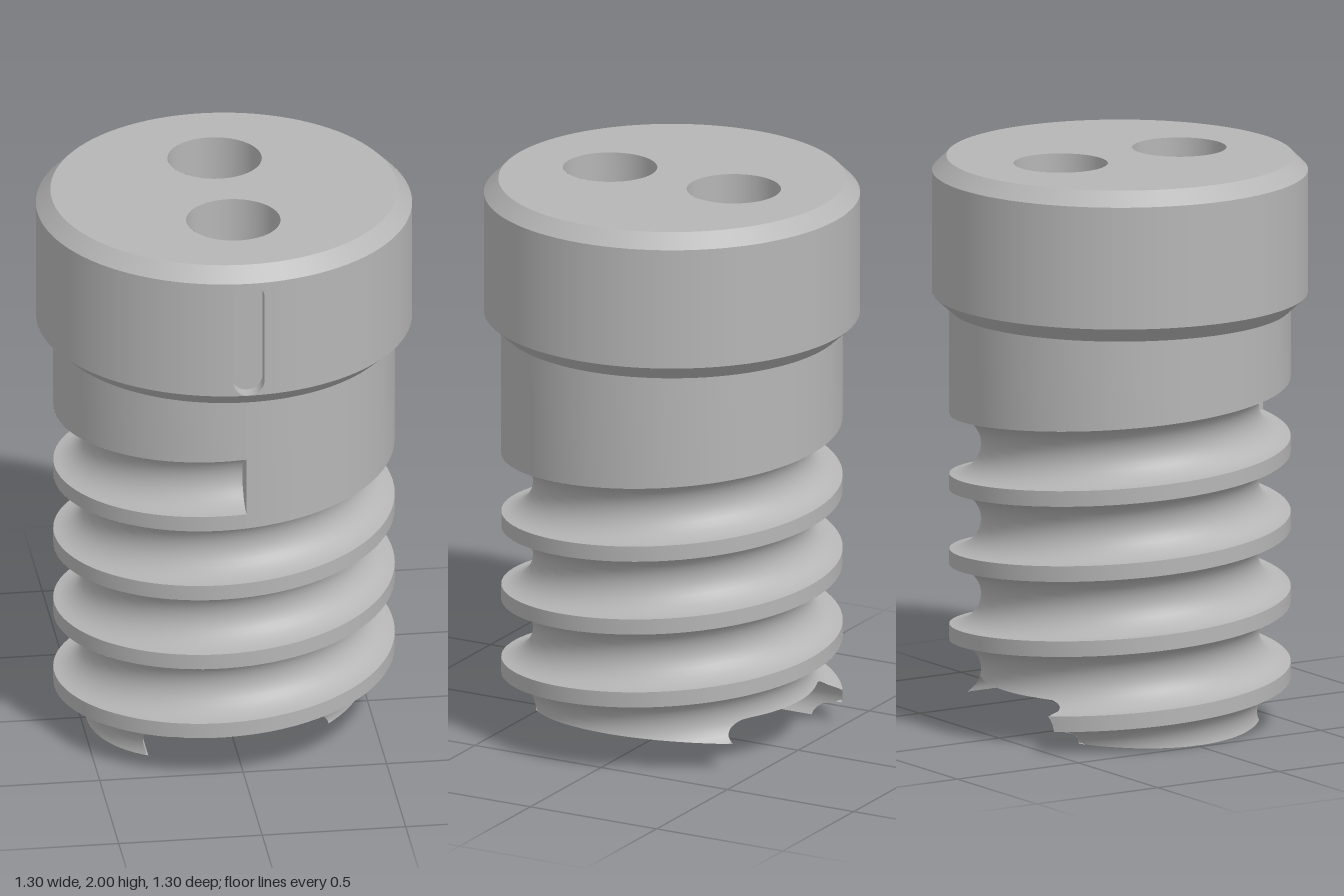
import * as THREE from 'three';

const TAU = Math.PI * 2;
const HEAD_R = 0.65, SHANK_R = 0.59;
const PITCH = 0.265, START_Y = 1.14;       // helical groove
const HALF = 0.105, DEPTH = 0.11;          // groove half height and depth
const HOLE_R = 0.163, HOLE_Z = 0.245;
const SLOT_W = 0.055, FLOOR_Z = 0.6;       // key slot in the head

// Smooth parametric sheet, normal = du x dv
function sheet(nu, nv, fn) {
  const pos = [], index = [];
  for (let i = 0; i <= nu; i++)
    for (let j = 0; j <= nv; j++) pos.push(...fn(i / nu, j / nv));
  for (let i = 0; i < nu; i++)
    for (let j = 0; j < nv; j++) {
      const a = i * (nv + 1) + j, b = a + nv + 1;
      index.push(a, b, a + 1, b, b + 1, a + 1);
    }
  const g = new THREE.BufferGeometry();
  g.setAttribute('position', new THREE.Float32BufferAttribute(pos, 3));
  g.setIndex(index);
  g.computeVertexNormals();
  return g;
}

// Keep the part of a sheet where inside(x, y, z) > 0
function clip(geo, inside) {
  const P = geo.attributes.position, N = geo.attributes.normal, idx = geo.index.array;
  const pos = [], nor = [];
  for (let t = 0; t < idx.length; t += 3) {
    const tri = [0, 1, 2].map(k => {
      const p = new THREE.Vector3().fromBufferAttribute(P, idx[t + k]);
      const n = new THREE.Vector3().fromBufferAttribute(N, idx[t + k]);
      return { p, n, f: inside(p.x, p.y, p.z) };
    });
    const poly = [];
    tri.forEach((a, k) => {
      const b = tri[(k + 1) % 3];
      if (a.f > 0) poly.push(a);
      if ((a.f > 0) !== (b.f > 0)) {
        const m = a.f / (a.f - b.f);
        poly.push({ p: a.p.clone().lerp(b.p, m), n: a.n.clone().lerp(b.n, m).normalize() });
      }
    });
    for (let k = 1; k + 1 < poly.length; k++)
      for (const v of [poly[0], poly[k], poly[k + 1]]) {
        pos.push(v.p.x, v.p.y, v.p.z);
        nor.push(v.n.x, v.n.y, v.n.z);
      }
  }
  const g = new THREE.BufferGeometry();
  g.setAttribute('position', new THREE.Float32BufferAttribute(pos, 3));
  g.setAttribute('normal', new THREE.Float32BufferAttribute(nor, 3));
  return g;
}

// Point at helix angle phi (0 at the front, turning towards -x)
const polar = (r, phi, y) => [-r * Math.sin(phi), y, r * Math.cos(phi)];
const grooveY = phi => START_Y - PITCH * phi / TAU;

// Threaded wall radius at a point
function wallRadius(x, y, z) {
  let s = (y - grooveY(Math.atan2(-x, z))) / PITCH;
  s = (s - Math.round(s)) * PITCH / HALF;
  return Math.abs(s) < 1 ? SHANK_R - DEPTH * Math.sqrt(1 - s * s) : SHANK_R;
}

// Underside: tilted plane with a round-sided channel along z
const CH = { x0: -0.235, x1: 0.225, y: 0.075, r: 0.095 };
const planeY = x => 0.06 + 0.125 * x;
function aboveUnderside(x, y) {
  const cx = THREE.MathUtils.clamp(x, CH.x0, CH.x1);
  return Math.min(y - planeY(x), Math.hypot(x - cx, y - CH.y) - CH.r);
}

export function createModel() {
  const model = new THREE.Group();
  const steel = new THREE.MeshStandardMaterial({ color: 0xb6b6b6, side: THREE.DoubleSide });
  steel.name = 'steel grey';
  const add = (name, geo) => {
    const m = new THREE.Mesh(geo, steel);
    m.name = name;
    model.add(m);
    return m;
  };
  const band = (name, rt, rb, y0, y1, start = 0, len = TAU) =>
    add(name, new THREE.CylinderGeometry(rt, rb, y1 - y0, 96, 1, true, start, len))
      .position.y = (y0 + y1) / 2;

  // Head: chamfers, wall with a gap for the key slot, top face
  const gap = Math.asin(SLOT_W / HEAD_R);
  band('headTopChamfer', 0.6, HEAD_R, 1.95, 2);
  band('headWall', HEAD_R, HEAD_R, 1.52, 1.95, gap, TAU - 2 * gap);
  band('headBottomChamfer', HEAD_R, SHANK_R, 1.465, 1.52);
  const top = new THREE.Shape().absarc(0, 0, 0.6, 0, TAU);
  for (const s of [-1, 1])
    top.holes.push(new THREE.Path().absarc(0, s * HOLE_Z, HOLE_R, 0, TAU, true));
  add('headTop', new THREE.ShapeGeometry(top, 48).rotateX(-Math.PI / 2)).position.y = 2;

  // Key slot: wall corners around it, side wall and floor
  const headZ = x => Math.sqrt(HEAD_R * HEAD_R - x * x);
  const capY = x => Math.sqrt(Math.max(0, SLOT_W * SLOT_W - x * x));
  const hiC = 1.95 - SLOT_W, loC = 1.52 + SLOT_W;
  const slotX = u => -SLOT_W * Math.cos(u * Math.PI);
  add('keySlotUpperCorners', sheet(16, 1, (u, v) => {
    const x = slotX(u);
    return [x, v ? 1.95 : hiC + capY(x), headZ(x)];
  }));
  add('keySlotLowerCorners', sheet(16, 1, (u, v) => {
    const x = slotX(u);
    return [x, v ? loC - capY(x) : 1.52, headZ(x)];
  }));
  const outline = [];
  for (let i = 0; i <= 16; i++)
    outline.push([SLOT_W * Math.cos(i * Math.PI / 16), hiC + SLOT_W * Math.sin(i * Math.PI / 16)]);
  for (let i = 16; i <= 32; i++)
    outline.push([SLOT_W * Math.cos(i * Math.PI / 16), loC + SLOT_W * Math.sin(i * Math.PI / 16)]);
  outline.push(outline[0]);
  add('keySlotWall', sheet(outline.length - 1, 1, (u, v) => {
    const [x, y] = outline[Math.round(u * (outline.length - 1))];
    return [x, y, v ? headZ(x) : FLOOR_Z];
  }));
  const floor = new THREE.Shape(outline.slice(0, -1).map(p => new THREE.Vector2(...p)));
  add('keySlotFloor', new THREE.ShapeGeometry(floor)).position.z = FLOOR_Z;

  // Plain collar down to the first turn of the groove
  add('collar', sheet(96, 1, (u, v) =>
    polar(SHANK_R, u * TAU, v ? grooveY(u * TAU) + HALF : 1.465)));

  // Helical groove and the land between its turns, cut off by the underside
  const TURNS = 4.9, steps = 440;
  add('threadGroove', clip(sheet(steps, 16, (u, v) => {
    const phi = u * TURNS * TAU, a = v * Math.PI;
    return polar(SHANK_R - DEPTH * Math.sin(a), phi, grooveY(phi) + HALF * Math.cos(a));
  }), aboveUnderside));
  add('threadLand', clip(sheet(steps, 2, (u, v) => {
    const phi = u * TURNS * TAU;
    return polar(SHANK_R, phi, grooveY(phi) - HALF - v * (PITCH - 2 * HALF));
  }), aboveUnderside));

  // Flat wall where the groove starts
  add('grooveEnd', sheet(16, 1, (u, v) => {
    const a = u * Math.PI;
    return [0, START_Y + HALF * Math.cos(a), SHANK_R - (v ? DEPTH * Math.sin(a) : 0)];
  }));

  // Underside pieces: cross-section swept along z, trimmed to the thread and holes
  const insideWall = (x, y, z) => wallRadius(x, y, z) - Math.hypot(x, z);
  const insideFlat = (x, y, z) => Math.min(insideWall(x, y, z),
    Math.hypot(x, Math.abs(z) - HOLE_Z) - HOLE_R);
  const sweep = (name, n, section, inside) => add(name, clip(sheet(n, 80, (u, v) =>
    [...section(u), -0.6 + 1.2 * v]), inside));
  const line = (a, b) => u => [a + (b - a) * u, planeY(a + (b - a) * u)];
  const arc = (cx, a, b) => u => {
    const t = a + (b - a) * u;
    return [cx + CH.r * Math.cos(t), CH.y + CH.r * Math.sin(t)];
  };
  sweep('lowTooth', 16, line(-0.6, -0.313), insideWall);
  sweep('channelLowSide', 14, arc(CH.x0, Math.PI + 0.607, Math.PI / 2), insideWall);
  sweep('channelFloor', 40, u => [CH.x0 + (CH.x1 - CH.x0) * u, CH.y + CH.r], insideFlat);
  sweep('channelHighSide', 10, arc(CH.x1, Math.PI / 2, 0.263), insideWall);
  sweep('highTooth', 16, line(0.3167, 0.6), insideWall);

  // Two through holes, walls facing inwards
  for (const s of [-1, 1])
    add(s > 0 ? 'frontHole' : 'backHole', sheet(48, 1, (u, v) => {
      const [x, y, z] = polar(HOLE_R, -u * TAU, v ? CH.y + CH.r : 2);
      return [x, y, z + s * HOLE_Z];
    }));

  return model;
}
